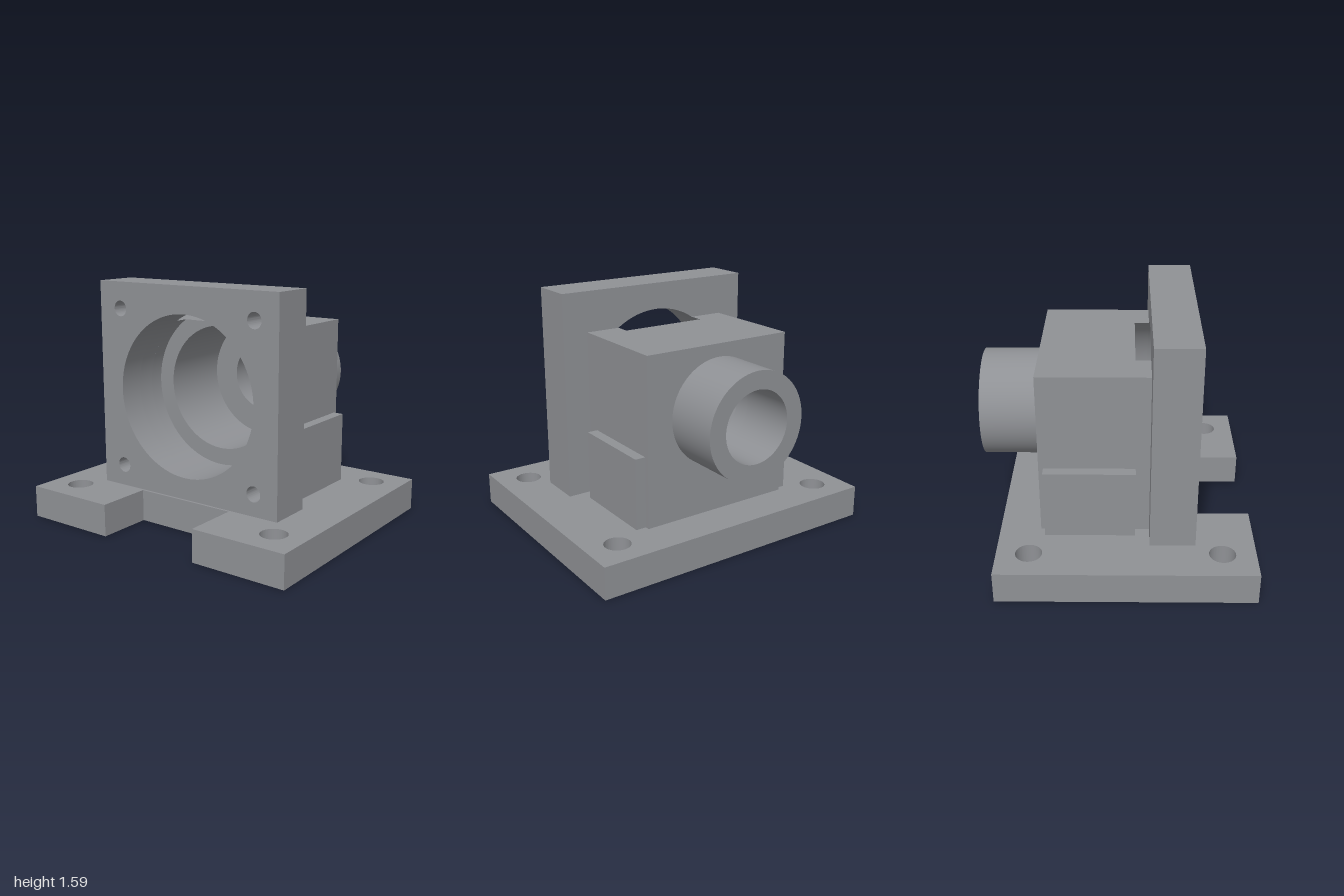
import * as THREE from 'three';
import { toCreasedNormals } from 'three/addons/utils/BufferGeometryUtils.js';

const AXIS_Y = 0.885; // height of the bore axis
const BORE_R = 0.528;

export function createModel() {
  const model = new THREE.Group();
  model.name = 'flangedHousing';
  const metal = new THREE.MeshStandardMaterial({ color: 0x8f9195 });
  metal.name = 'grey metal';

  const polygon = (pts) => new THREE.Shape(pts.map(([x, y]) => new THREE.Vector2(x, y)));
  const rect = (x, y0, y1) => polygon([[-x, y0], [x, y0], [x, y1], [-x, y1]]);
  const circle = (x, y, r) => new THREE.Path().absarc(x, y, r, 0, Math.PI * 2, true);

  // Extrude a shape with holes between two z positions
  function slab(shape, holes, z0, z1) {
    shape.holes.push(...holes);
    const geo = new THREE.ExtrudeGeometry(shape, { depth: z1 - z0, bevelEnabled: false, curveSegments: 64 });
    geo.translate(0, 0, z0);
    return toCreasedNormals(geo, 0.6);
  }
  function add(name, geo) {
    const mesh = new THREE.Mesh(geo, metal);
    mesh.name = name;
    model.add(mesh);
    return mesh;
  }

  // Notched base plate with four bolt holes, drawn flat and laid down
  const base = polygon([
    [-1, -0.88], [-0.355, -0.88], [-0.355, -0.515], [0.355, -0.515],
    [0.355, -0.88], [1, -0.88], [1, 0.765], [-1, 0.765],
  ]);
  const boltHoles = [];
  for (const x of [-0.79, 0.79]) for (const y of [-0.665, 0.558]) boltHoles.push(circle(x, y, 0.085));
  add('basePlate', slab(base, boltHoles, 0, 0.212).rotateX(-Math.PI / 2));

  // Front flange: blind screw holes in the front layer, bore through both
  const screwHoles = [];
  for (const x of [-0.53, 0.53]) for (const y of [-0.53, 0.53]) screwHoles.push(circle(x, AXIS_Y + y, 0.051));
  const bore = (r) => circle(0, AXIS_Y, r);
  add('flangeFront', slab(rect(0.703, 0.212, 1.59), [bore(BORE_R), ...screwHoles], 0.33, 0.5));
  add('flangeBack', slab(rect(0.703, 0.212, 1.59), [bore(BORE_R)], 0.207, 0.33));

  // Housing collar, whose bore breaks out through the top
  const top = 1.322;
  const a = Math.asin((top - AXIS_Y) / BORE_R);
  const collar = new THREE.Shape();
  collar.moveTo(-0.53, 0.212);
  collar.lineTo(0.53, 0.212);
  collar.lineTo(0.53, top);
  collar.lineTo(BORE_R * Math.cos(a), top);
  collar.absarc(0, AXIS_Y, BORE_R, a, Math.PI - a, true);
  collar.lineTo(-0.53, top);
  collar.closePath();
  add('housingCollar', slab(collar, [], 0.11, 0.207));

  // Housing body with stepped bore
  add('housingBody', slab(rect(0.53, 0.212, top), [bore(0.415)], -0.39, 0.11));
  add('housingBack', slab(rect(0.53, 0.212, top), [bore(0.235)], -0.5, -0.39));

  // Rear spout
  const spout = new THREE.Shape().absarc(0, AXIS_Y, 0.352, 0, Math.PI * 2, false);
  add('rearSpout', slab(spout, [bore(0.235)], -0.88, -0.5));

  // Side pads
  for (const [side, name] of [[1, 'leftPad'], [-1, 'rightPad']]) {
    add(name, new THREE.BoxGeometry(0.07, 0.468, 0.585)).position.set(side * 0.565, 0.446, -0.177);
  }
  return model;
}
